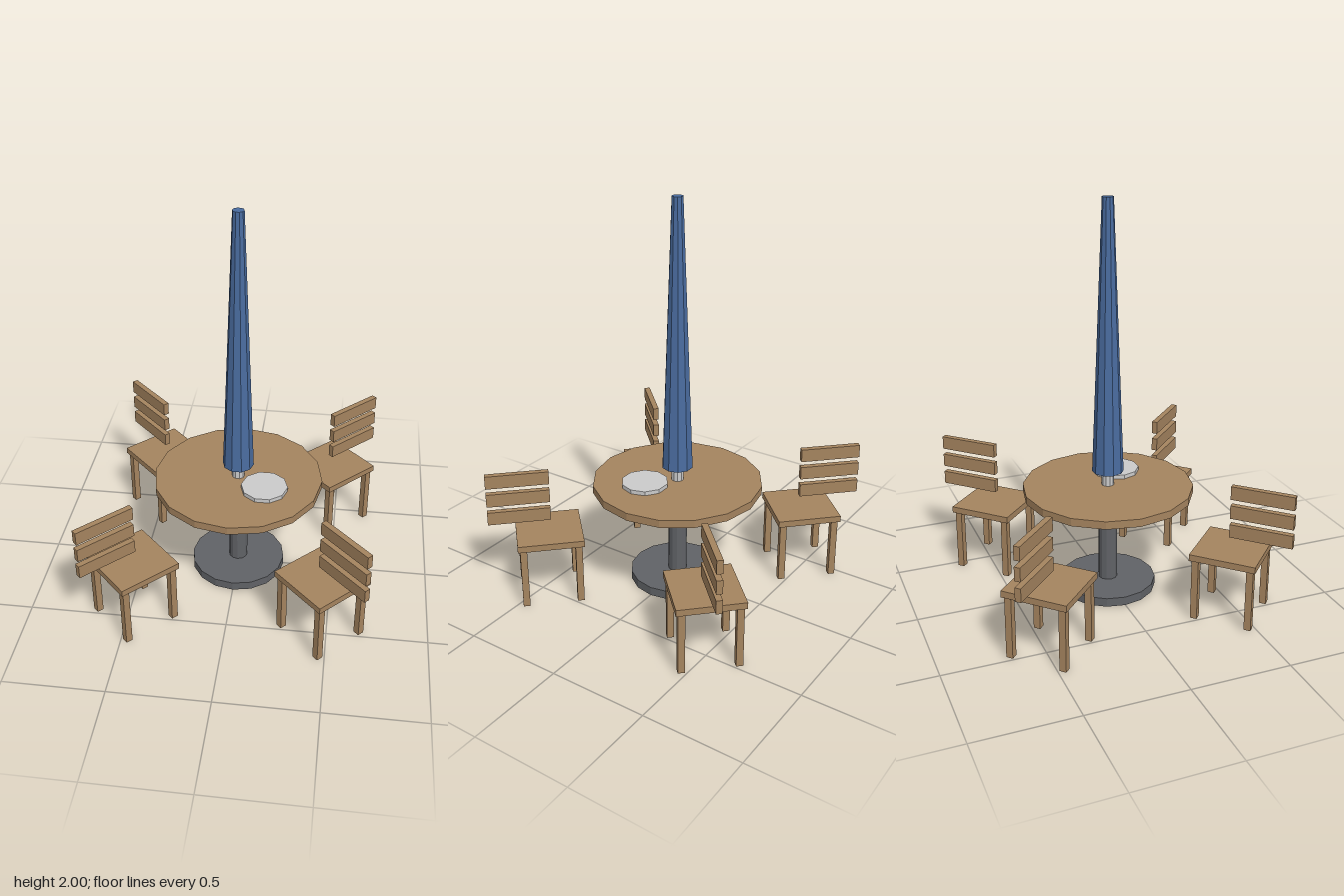
import * as THREE from 'three';

const material = (color) => new THREE.MeshStandardMaterial({ color, flatShading: true });

export function createModel() {
  const model = new THREE.Group();
  model.name = 'patioSet';
  const wood = material(0xa5845f);
  const metal = material(0x606266);
  const blue = material(0x4a6c9f);
  const grey = material(0xcccccc);

  // Faceted upright part spanning y0..y1, with a corner on the x axis
  function column(name, rTop, rBottom, y0, y1, sides, mat, x = 0, z = 0) {
    const geometry = new THREE.CylinderGeometry(rTop, rBottom, y1 - y0, sides);
    geometry.rotateY(Math.PI / 2);
    const mesh = new THREE.Mesh(geometry, mat);
    mesh.name = name;
    mesh.position.set(x, (y0 + y1) / 2, z);
    model.add(mesh);
  }

  // Table, its foot and the dish on it
  column('base', 0.243, 0.243, 0, 0.045, 16, metal);
  column('pedestal', 0.048, 0.048, 0.045, 0.523, 12, metal);
  column('tableTop', 0.43, 0.43, 0.523, 0.563, 16, wood);
  column('dish', 0.118, 0.118, 0.563, 0.584, 10, grey, 0.144, 0.1);

  // Closed parasol
  column('parasolPole', 0.032, 0.032, 0.563, 0.64, 10, grey);
  column('parasolCollar', 0.036, 0.036, 0.62, 0.64, 10, blue);
  column('parasolCanopy', 0.028, 0.079, 0.637, 2, 10, blue);

  // Chair in its own frame: +z points away from the table
  function createChair() {
    const chair = new THREE.Group();
    chair.name = 'chair';
    const box = (name, w, h, d, x, y, z) => {
      const mesh = new THREE.Mesh(new THREE.BoxGeometry(w, h, d), wood);
      mesh.name = name;
      mesh.position.set(x, y, z);
      chair.add(mesh);
    };
    box('seat', 0.328, 0.033, 0.328, 0, 0.333, 0);
    for (const x of [-1, 1]) {
      for (const z of [-1, 1]) box('leg', 0.034, 0.317, 0.034, x * 0.136, 0.1585, z * 0.136);
    }
    // Three separate backrest slats, set along the middle of the seat
    for (let i = 0; i < 3; i++) box('backSlat', 0.03, 0.068, 0.312, 0, 0.437 + i * 0.1, 0.143);
    return chair;
  }

  // Four chairs on the diagonals
  for (let i = 0; i < 4; i++) {
    const angle = Math.PI / 4 + (i * Math.PI) / 2;
    const chair = createChair();
    chair.rotation.y = angle;
    chair.position.set(Math.sin(angle) * 0.66, 0, Math.cos(angle) * 0.66);
    model.add(chair);
  }
  return model;
}
